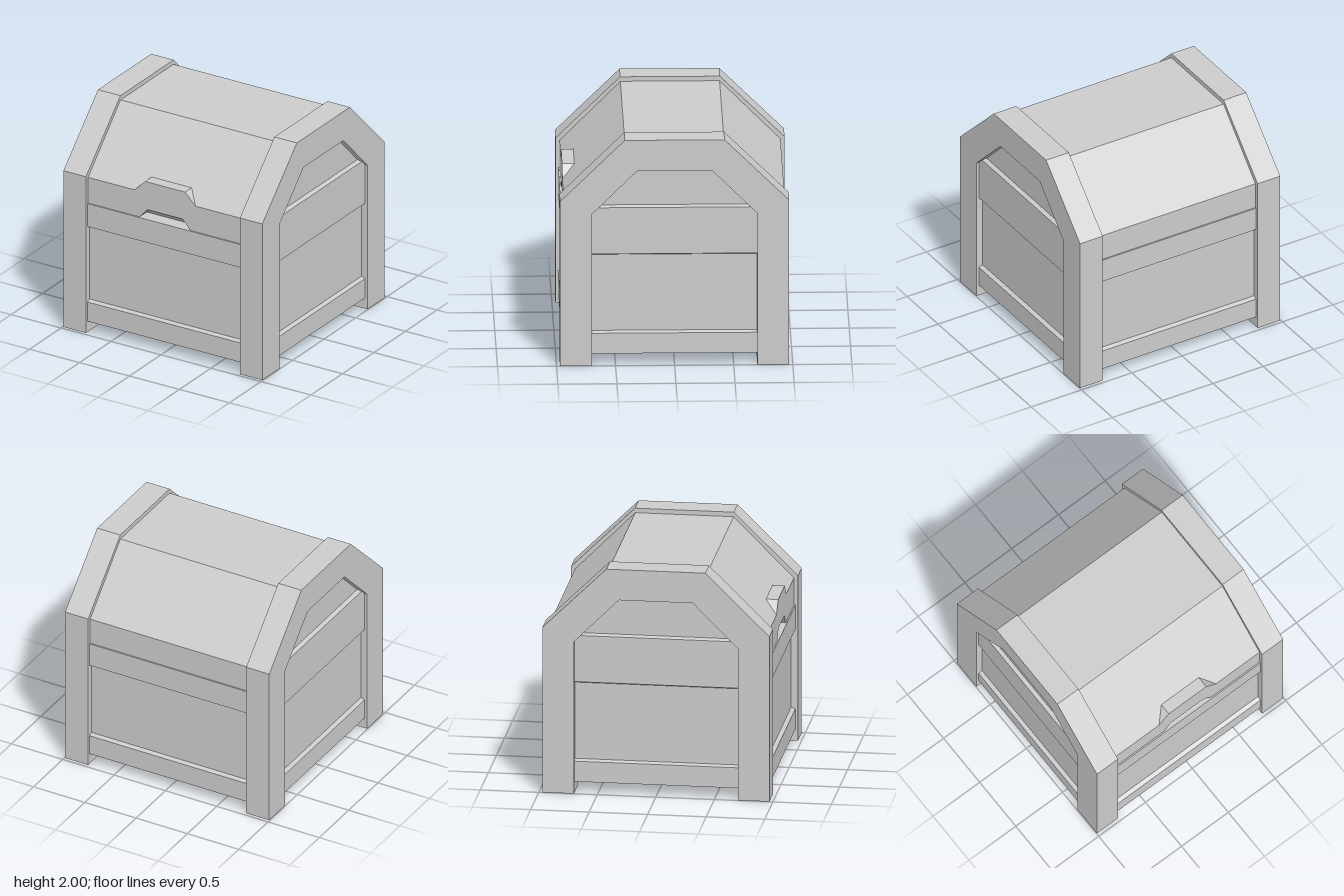
import * as THREE from 'three';

const material = new THREE.MeshStandardMaterial({ color: 0xcccccc, flatShading: true });

function add(group, name, geometry) {
  const mesh = new THREE.Mesh(geometry, material);
  mesh.name = name;
  group.add(mesh);
  return mesh;
}

function shapeOf(points) {
  return new THREE.Shape(points.map(([a, b]) => new THREE.Vector2(a, b)));
}

// Profile in (z, y), extruded along x and centred on x = cx
function extrudeX(shape, width, cx = 0) {
  return new THREE.ExtrudeGeometry(shape, { depth: width, bevelEnabled: false })
    .translate(0, 0, -width / 2).rotateY(-Math.PI / 2).translate(cx, 0, 0);
}

// Profile in (x, y), extruded from z0 to z1
function extrudeZ(points, z0, z1) {
  return new THREE.ExtrudeGeometry(shapeOf(points), { depth: z1 - z0, bevelEnabled: false })
    .translate(0, 0, z0);
}

// Rectangular stack: rows of [y, half width, half depth], bottom to top
function stackedBox(rows) {
  const n = rows.length - 1;
  const geometry = new THREE.BoxGeometry(2, n, 2, 1, n, 1);
  const p = geometry.attributes.position;
  for (let i = 0; i < p.count; i++) {
    const [y, hx, hz] = rows[Math.round(p.getY(i) + n / 2)];
    p.setXYZ(i, p.getX(i) * hx, y, p.getZ(i) * hz);
  }
  const flat = geometry.toNonIndexed();
  flat.computeVertexNormals();
  return flat;
}

export function createModel() {
  const chest = new THREE.Group();
  chest.name = 'chest';

  // Body: base band, recessed panels, upper band
  add(chest, 'body', stackedBox([
    [0.1, 0.97, 0.947], [0.28, 0.97, 0.947],
    [0.295, 0.935, 0.912], [0.97, 0.935, 0.912],
    [0.985, 0.97, 0.947], [1.2, 0.97, 0.947],
  ]));

  // Lid, its front lower edge undercut for the finger notch
  const lid = new THREE.Group();
  lid.name = 'lid';
  chest.add(lid);
  const front = 0.935, inner = 0.83;
  add(lid, 'lidShell', extrudeX(shapeOf([
    [-front, 1.2], [inner, 1.205], [front, 1.287], [front, 1.44],
    [0.42, 1.96], [-0.42, 1.96], [-front, 1.44],
  ]), 1.87));

  // Lower front edge on both sides of the notch
  for (const s of [-1, 1]) {
    const pts = [[0.255, 1.2], [0.935, 1.2], [0.935, 1.287], [0.175, 1.287]];
    add(lid, 'lidFrontEdge', extrudeZ(pts.map(([x, y]) => [x * s, y]), inner - 0.03, front));
  }

  // Band around the lid ends, with a narrow sloped ledge on top
  add(lid, 'lidEndBand', stackedBox([
    [1.2, 0.97, 0.8], [1.395, 0.97, 0.8], [1.41, 0.935, 0.8],
  ]));

  // Lifting tab
  add(lid, 'handle', extrudeZ(
    [[-0.305, 1.44], [0.305, 1.44], [0.2, 1.545], [-0.2, 1.545]], 0.72, front));

  // Arched end frames with legs
  const arch = shapeOf([
    [-0.97, 0], [-0.7, 0], [-0.7, 1.345], [-0.315, 1.73],
    [0.315, 1.73], [0.7, 1.345], [0.7, 0], [0.97, 0],
    [0.97, 1.46], [0.422, 2], [-0.422, 2], [-0.97, 1.46],
  ]);
  for (const s of [-1, 1]) {
    add(chest, s > 0 ? 'leftEndFrame' : 'rightEndFrame', extrudeX(arch, 0.225, s * 0.8825));
  }

  return chest;
}
